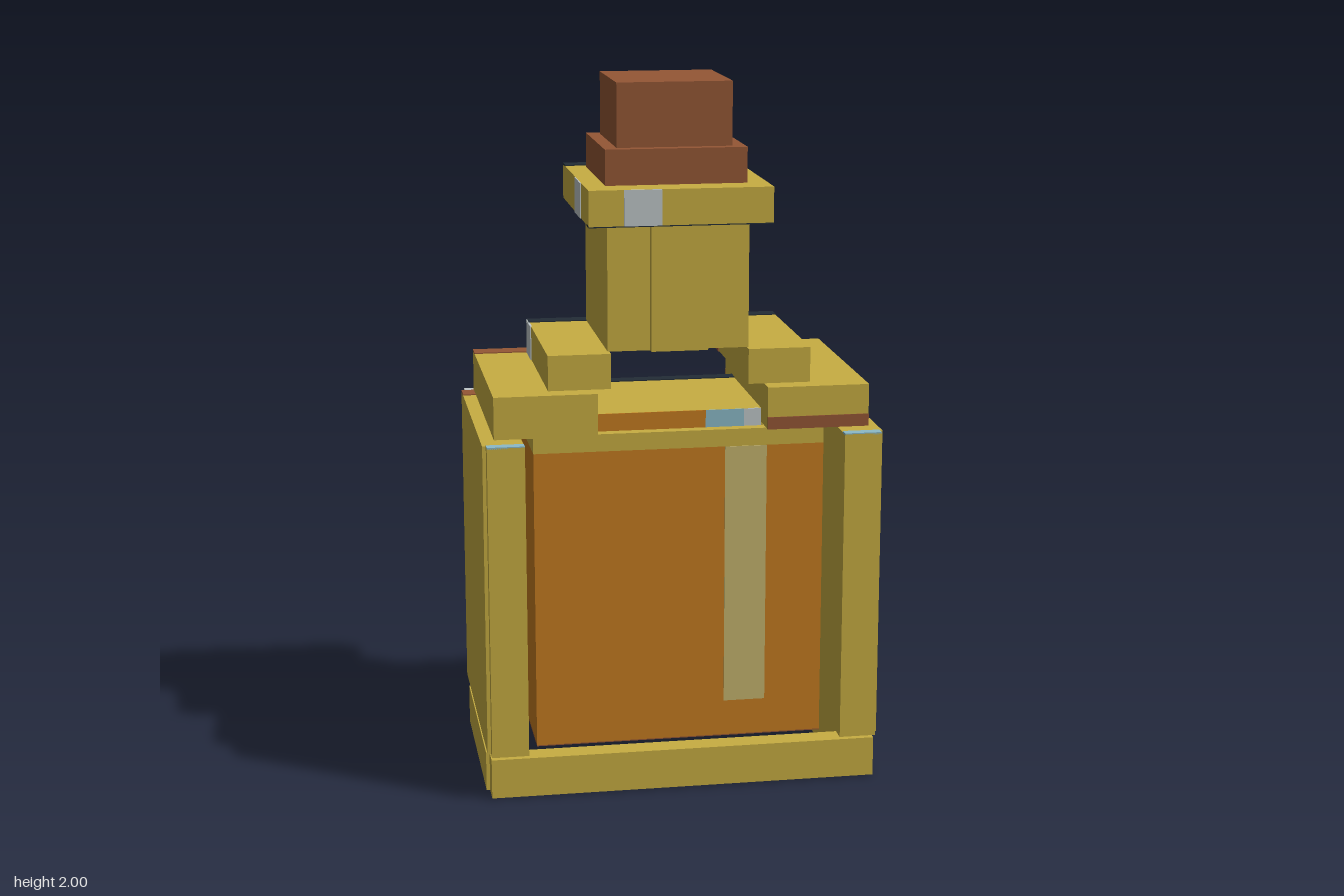
import * as THREE from 'three';

const mat = (name, color) => {
  const m = new THREE.MeshStandardMaterial({ color });
  m.name = name;
  return m;
};

export function createModel() {
  const gold = mat('gold', 0xc8ae42);
  const amber = mat('amber', 0xc67c20);
  const cork = mat('cork brown', 0x955735);
  const blue = mat('pale blue', 0x8cbac8);
  const silver = mat('silver', 0xc0c8ca);
  const beige = mat('beige', 0xc4b8a6);
  const shine = mat('glass shine', 0xc5b56e);
  const dark = mat('dark slate', 0x232d36);

  const model = new THREE.Group();
  model.name = 'bottle';

  // Box given by its extents on each axis
  const box = (name, m, [x0, x1], [y0, y1], [z0, z1]) => {
    const mesh = new THREE.Mesh(new THREE.BoxGeometry(x1 - x0, y1 - y0, z1 - z0), m);
    mesh.position.set((x0 + x1) / 2, (y0 + y1) / 2, (z0 + z1) / 2);
    mesh.name = name;
    model.add(mesh);
  };
  // Range on the left (s = 1) or mirrored to the right (s = -1)
  const side = (s, a, b) => (s > 0 ? [a, b] : [-b, -a]);
  // Thin painted plates centred on a face
  const T = 0.003;
  const onX = (name, m, x, y, z) => box(name, m, [x - T, x + T], y, z);
  const onY = (name, m, x, y, z) => box(name, m, x, [y - T, y + T], z);
  const onZ = (name, m, x, y, z) => box(name, m, x, y, [z - T, z + T]);

  // Base ring, open in the middle
  box('baseFront', gold, [-0.555, 0.555], [0, 0.115], [0.31, 0.375]);
  box('baseBack', gold, [-0.555, 0.555], [0, 0.115], [-0.32, -0.25]);
  onY('baseBackTopStripe', dark, [-0.555, 0.555], 0.115, [-0.32, -0.295]);
  onZ('baseBackStripe', dark, [-0.555, 0.555], [0.06, 0.115], -0.32);
  onY('baseFrontUnderStripe', dark, [-0.46, 0.46], 0, [0.31, 0.34]);
  onY('baseBackUnderStripe', dark, [-0.46, 0.46], 0, [-0.28, -0.25]);

  for (const s of [1, -1]) {
    box('baseSide', gold, side(s, 0.46, 0.565), [0, 0.115], [-0.25, 0.31]);

    // Side walls and corner posts
    box('sideWall', gold, side(s, 0.45, 0.565), [0.13, 1.03], [-0.32, 0.365]);
    box('frontPost', gold, side(s, 0.45, 0.555), [0.13, 1.03], [0.365, 0.395]);
    box('backPost', gold, side(s, 0.45, 0.555), [0.13, 1.03], [-0.345, -0.32]);
    onY('frontPostTop', blue, side(s, 0.45, 0.555), 1.03, [0.365, 0.395]);
    onY('backPostTop', silver, side(s, 0.45, 0.555), 1.03, [-0.345, -0.32]);
    onY('wallTopPatch', cork, side(s, 0.45, 0.565), 1.03, [-0.32, -0.26]);

    // Stepped shoulders, split by a slot along the middle
    box('lowerShoulder', gold, side(s, 0.24, 0.53), [1.04, 1.16], [-0.295, 0.34]);
    box('upperShoulder', gold, side(s, 0.195, 0.372), [1.16, 1.26], [-0.235, 0.285]);
    onY('upperShoulderStripe', dark, side(s, 0.195, 0.372), 1.26, [-0.235, -0.19]);
  }
  for (const z of [-0.295, 0.34]) onZ('shoulderStripe', cork, [0.24, 0.53], [1.04, 1.075], z);
  onY('shoulderPatch', cork, [-0.53, -0.34], 1.16, [-0.295, -0.24]);
  onX('shoulderInnerPatch', cork, 0.195, [1.16, 1.26], [-0.235, -0.16]);
  onX('shoulderOuterPatch', silver, -0.372, [1.16, 1.26], [-0.235, -0.13]);

  // Liquid block with a gold upper band
  box('liquid', amber, [-0.415, 0.415], [0.115, 0.98], [-0.23, 0.28]);
  box('liquidTopBand', gold, [-0.415, 0.415], [0.98, 1.03], [-0.23, 0.28]);
  onY('liquidUnderside', cork, [-0.415, 0.415], 0.115, [-0.23, 0.28]);
  onY('undersideShine', shine, [0.13, 0.25], 0.111, [-0.15, 0.2]);
  onZ('frontShine', shine, [0.13, 0.25], [0.22, 0.98], 0.28);
  onZ('backShine', shine, [-0.25, -0.13], [0.22, 0.98], -0.23);

  // Plate between the shoulders
  box('topPlate', gold, [-0.37, 0.37], [1.03, 1.08], [-0.19, 0.245]);
  onZ('topPlateFront', amber, [-0.24, 0.08], [1.03, 1.08], 0.245);
  onZ('topPlateBlue', blue, [0.08, 0.19], [1.03, 1.08], 0.245);
  onZ('topPlateSilver', silver, [0.19, 0.24], [1.03, 1.08], 0.245);
  onY('topPlateStripe', dark, [-0.24, 0.24], 1.08, [-0.19, -0.15]);

  // Neck with raised centre strips, and lip
  box('neck', gold, [-0.2, 0.2], [1.26, 1.62], [-0.2, 0.255]);
  box('neckStrip', gold, [-0.08, 0.08], [1.26, 1.62], [-0.222, 0.277]);
  box('lip', gold, [-0.258, 0.258], [1.62, 1.72], [-0.255, 0.308]);
  onY('lipStripe', dark, [-0.258, 0.258], 1.72, [-0.258, -0.205]);
  onY('lipUnderStripe', dark, [-0.258, 0.258], 1.62, [0.26, 0.308]);
  onZ('lipFrontPatch', silver, [-0.16, -0.055], [1.62, 1.72], 0.308);
  onX('lipSidePatch', silver, -0.258, [1.62, 1.72], [0.03, 0.15]);

  // Stopper
  box('stopperBase', cork, [-0.2, 0.2], [1.72, 1.82], [-0.175, 0.222]);
  box('stopperTop', cork, [-0.163, 0.163], [1.82, 2], [-0.14, 0.19]);

  // Outer frame of the back label
  const outerZ = [-0.374, -0.345];
  for (const s of [1, -1]) box('frameSide', blue, side(s, 0.42, 0.48), [0.235, 0.92], outerZ);
  box('frameTop', blue, [-0.49, 0.49], [0.915, 0.985], outerZ);
  box('frameBottom', blue, [-0.49, 0.49], [0.17, 0.24], outerZ);
  onY('frameTopEdge', silver, [-0.49, 0.42], 0.985, outerZ);

  // Inner frame and label panel
  const innerZ = [-0.37, -0.343];
  for (const s of [1, -1]) box('labelSide', beige, side(s, 0.305, 0.37), [0.35, 0.88], innerZ);
  box('labelBottom', beige, [-0.305, 0.305], [0.35, 0.415], innerZ);
  box('labelTop', dark, [-0.37, 0.37], [0.82, 0.885], [-0.373, -0.343]);
  box('labelPanel', amber, [-0.305, 0.305], [0.415, 0.82], [-0.376, -0.35]);
  onZ('labelStripe', dark, [-0.305, 0.305], [0.77, 0.82], -0.377);
  onZ('labelShine', shine, [-0.17, 0.24], [0.44, 0.53], -0.377);

  // Cross emblem
  const emblemZ = [-0.395, -0.375];
  box('emblemCentre', cork, [-0.05, 0.05], [0.595, 0.695], emblemZ);
  box('emblemTop', gold, [-0.045, 0.045], [0.715, 0.785], emblemZ);
  onY('emblemTopEdge', blue, [-0.045, 0.045], 0.785, emblemZ);
  box('emblemBottom', gold, [-0.045, 0.045], [0.51, 0.58], emblemZ);
  for (const s of [1, -1]) box('emblemSide', gold, side(s, 0.08, 0.155), [0.61, 0.68], emblemZ);

  return model;
}
